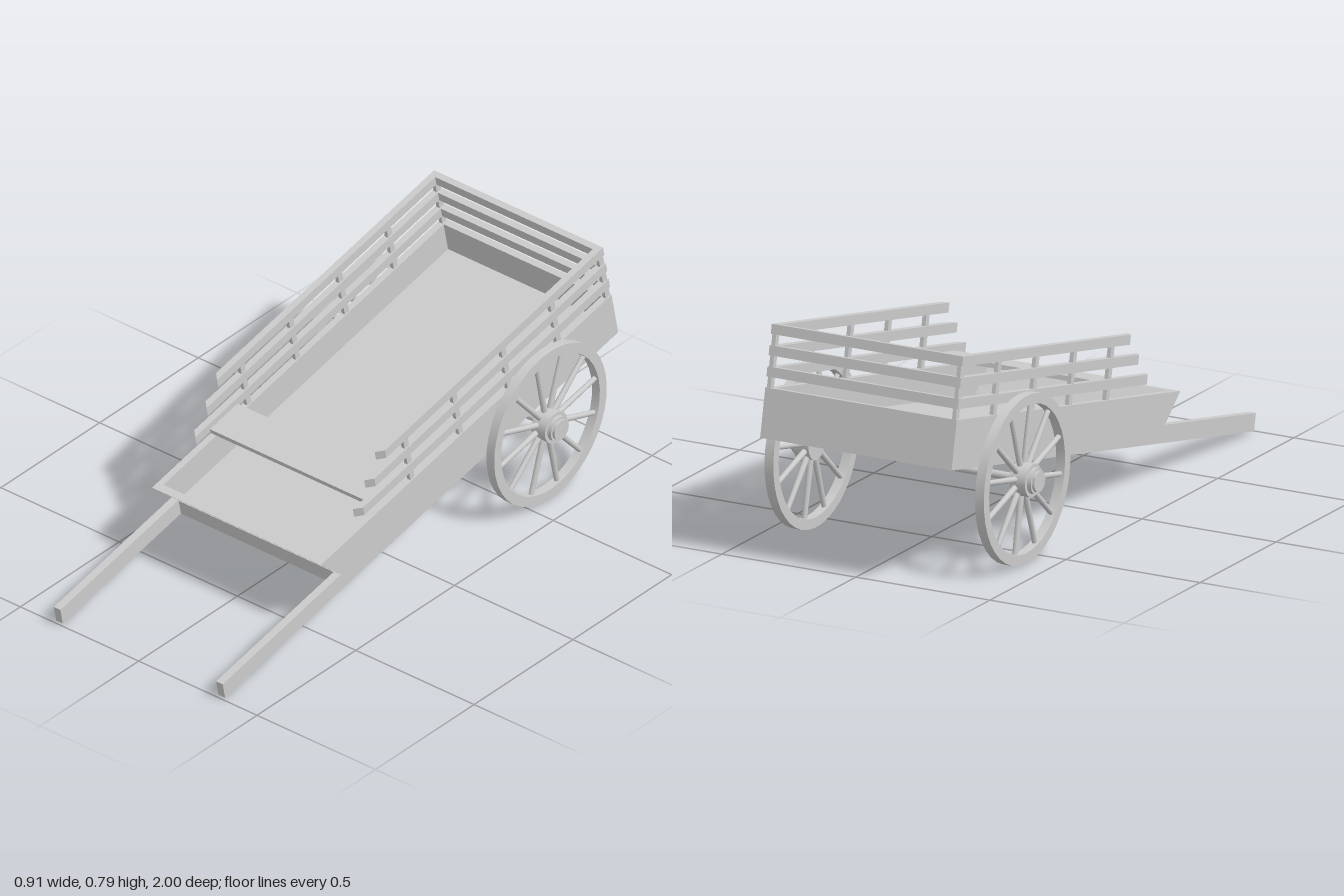
import * as THREE from 'three';
import { toCreasedNormals } from 'three/addons/utils/BufferGeometryUtils.js';

const material = new THREE.MeshStandardMaterial({ color: 0xcccccc });
const OUT = 0.357, IN = 0.333;   // outer and inner half widths of the body
const LENGTH = 2.033, TOP = 0.166, FLOOR = 0.056;

function add(parent, name, geometry) {
  const mesh = new THREE.Mesh(geometry, material);
  mesh.name = name;
  parent.add(mesh);
  return mesh;
}

// Box from its limits: x, height above the underside, distance back from the shaft tips
function block(parent, name, [x0, x1], [n0, n1], [s0, s1]) {
  const g = new THREE.BoxGeometry(x1 - x0, n1 - n0, s1 - s0);
  g.translate((x0 + x1) / 2, (n0 + n1) / 2, -(s0 + s1) / 2);
  return add(parent, name, g);
}

// Side profile of (distance back, height) points, extruded across x0..x1
function profile(parent, name, points, x0, x1) {
  const shape = new THREE.Shape(points.map(([s, n]) => new THREE.Vector2(-s, n)));
  const g = new THREE.ExtrudeGeometry(shape, { depth: x1 - x0, bevelEnabled: false });
  g.rotateY(-Math.PI / 2).translate(x1, 0, 0);
  return add(parent, name, g);
}

// Ring or stepped solid turned about the x axis from (radius, x) points
function turned(parent, name, points, segments) {
  const g = new THREE.LatheGeometry(points.map(([r, x]) => new THREE.Vector2(r, x)), segments);
  g.rotateZ(-Math.PI / 2);
  return add(parent, name, toCreasedNormals(g, 0.6));
}

function createWheel() {
  const wheel = new THREE.Group();
  wheel.name = 'wheel';
  turned(wheel, 'rim', [[0.25, -0.0165], [0.285, -0.0165], [0.285, 0.0165], [0.25, 0.0165], [0.25, -0.0165]], 40);
  turned(wheel, 'hub', [[0, -0.018], [0.056, -0.018], [0.056, 0.04], [0.044, 0.04],
    [0.044, 0.055], [0.036, 0.055], [0.036, 0.064], [0, 0.064]], 24);
  for (let i = 0; i < 12; i++) {
    const g = new THREE.CylinderGeometry(0.009, 0.011, 0.22, 10);
    g.translate(0, 0.15, 0).rotateX(i * Math.PI / 6);
    add(wheel, 'spoke', g);
  }
  return wheel;
}

export function createModel() {
  const model = new THREE.Group();
  model.name = 'handcart';
  // Everything is built level, then tipped so the shafts rest on the ground
  const cart = new THREE.Group();
  cart.name = 'tippedCart';
  cart.position.set(0, 0.005, 0.99);
  cart.rotation.x = 0.206;
  model.add(cart);

  // Floor and end boards
  block(cart, 'floor', [-IN, IN], [0, FLOOR], [0.611, LENGTH - 0.024]);
  block(cart, 'backBoard', [-IN, IN], [0, TOP], [LENGTH - 0.024, LENGTH]);
  profile(cart, 'frontBoard', [[0.53, TOP], [0.611, 0.06], [0.641, 0.06], [0.56, TOP]], -OUT, OUT);

  // Side walls and shafts
  for (const side of [-1, 1]) {
    const span = (a, b) => side > 0 ? [a, b] : [-b, -a];
    profile(cart, 'sideWall', [[0.611, 0], [LENGTH, 0], [LENGTH, TOP], [0.56, TOP],
      [0.641, 0.06], [0.611, 0.06]], ...span(IN, OUT));
    block(cart, 'shaft', span(0.329, OUT), [0, 0.06], [0, 0.611]);
    // Posts carrying the rails
    for (const s of [1.01, 1.262, 1.515, 1.768, 2.02]) {
      block(cart, 'railPost', span(0.338, 0.352), [TOP - 0.01, 0.36], [s - 0.011, s + 0.011]);
    }
  }

  // U-shaped rails with mitred front ends, each shorter than the one below
  for (const [n, start] of [[0.202, 0.739], [0.272, 0.812], [0.342, 0.881]]) {
    const back = LENGTH - 0.024;
    const shape = new THREE.Shape([[-OUT, start + 0.024], [-IN, start], [-IN, back], [IN, back], [IN, start],
      [OUT, start + 0.024], [OUT, LENGTH], [-OUT, LENGTH]].map(p => new THREE.Vector2(...p)));
    const g = new THREE.ExtrudeGeometry(shape, { depth: 0.033, bevelEnabled: false });
    g.rotateX(-Math.PI / 2).translate(0, n, 0);
    add(cart, 'rail', g);
  }

  // Seat plank between the lowest rails
  block(cart, 'seat', [-IN, IN], [0.197, 0.213], [0.81, 0.953]);

  // Axle and wheels
  const axle = add(cart, 'axle', new THREE.CylinderGeometry(0.0135, 0.0135, 0.78, 16).rotateZ(Math.PI / 2));
  axle.position.set(0, -0.048, -1.609);
  for (const side of [-1, 1]) {
    const wheel = createWheel();
    wheel.position.set(side * 0.3925, -0.048, -1.609);
    if (side < 0) wheel.rotation.y = Math.PI;
    cart.add(wheel);
  }
  return model;
}
